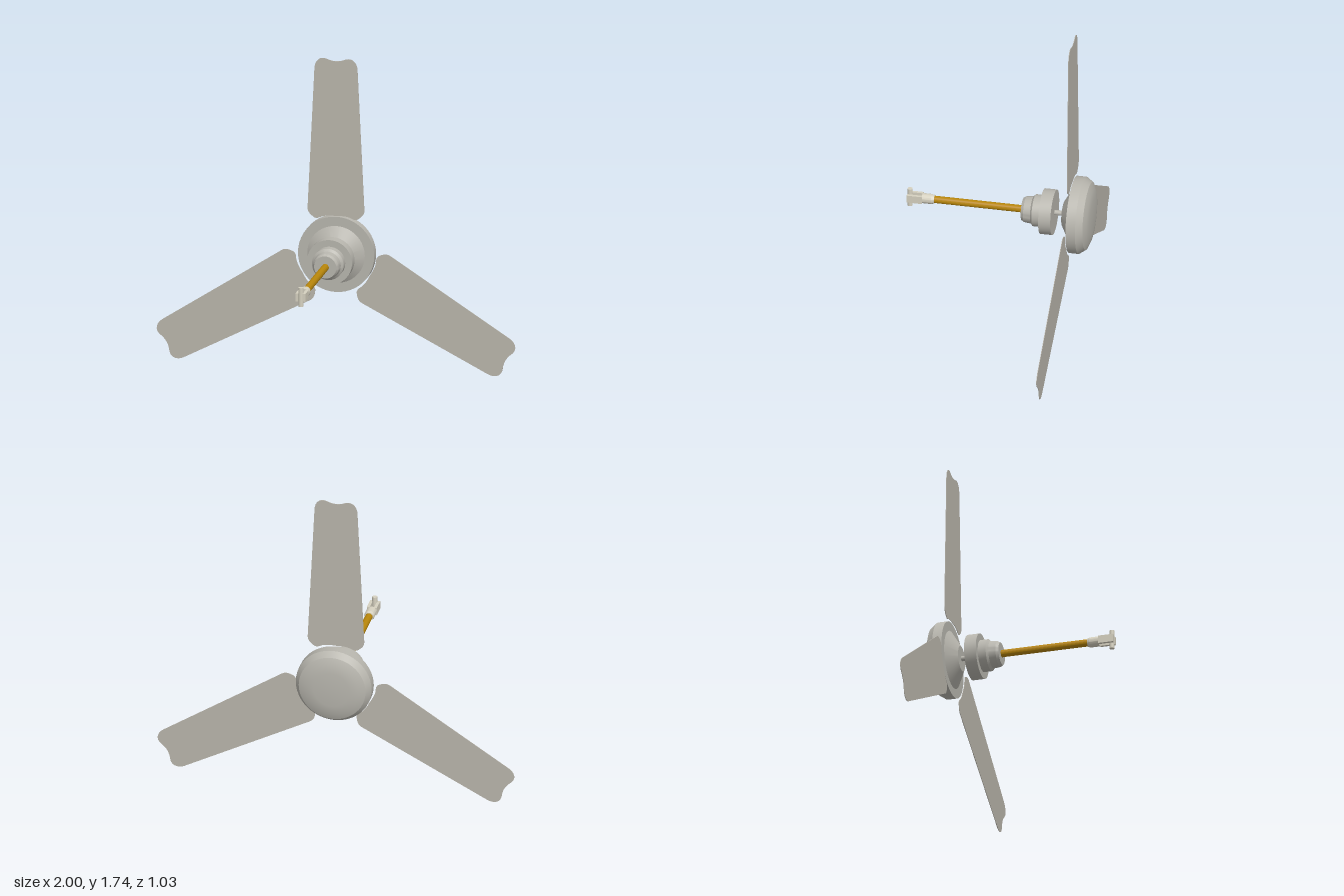
import * as THREE from 'three';
import { toCreasedNormals } from 'three/addons/utils/BufferGeometryUtils.js';

const mat = (name, color) => {
  const m = new THREE.MeshStandardMaterial({ color });
  m.name = name;
  return m;
};

export function createModel() {
  const metal = mat('grey metal', 0xb8b6ae);
  const bladePaint = mat('blade grey', 0xbab6ac);
  const brass = mat('dark gold', 0xb8860b);
  const cream = mat('pale cream', 0xd6d1c0);

  const fan = new THREE.Group();
  fan.name = 'ceilingFan';
  fan.position.y = 0.641;

  const add = (name, geometry, material) => {
    const mesh = new THREE.Mesh(geometry, material);
    mesh.name = name;
    fan.add(mesh);
    return mesh;
  };
  // Turned part about z; profile pairs are [radius, z], back to front
  const turned = (name, profile, material) => {
    const g = new THREE.LatheGeometry(profile.map(p => new THREE.Vector2(...p)), 48);
    g.rotateX(Math.PI / 2);
    return add(name, toCreasedNormals(g, 0.3), material);
  };
  const rod = (name, r, z0, z1, material) =>
    turned(name, [[0, z0], [r, z0], [r, z1], [0, z1]], material);

  // Motor housing, ceiling canopy and rods
  turned('motorHousing', [
    [0, -0.515], [0.1, -0.515], [0.15, -0.508], [0.187, -0.493], [0.212, -0.457],
    [0.212, -0.404], [0.16, -0.404], [0.07, -0.352], [0, -0.352],
  ], metal);
  turned('canopy', [
    [0, -0.302], [0.125, -0.302], [0.125, -0.235], [0.088, -0.235], [0.088, -0.19],
    [0.075, -0.179], [0.071, -0.14], [0.062, -0.125], [0, -0.125],
  ], metal);
  rod('motorShaft', 0.014, -0.36, -0.295, metal);
  rod('downRod', 0.02, -0.13, 0.37, brass);

  // Forked hanger with its cross pin
  turned('hangerSleeve', [
    [0, 0.365], [0.023, 0.365], [0.028, 0.38], [0.028, 0.432], [0, 0.432],
  ], cream);
  for (const side of [-1, 1]) {
    const prong = add('hangerProng', new THREE.BoxGeometry(0.016, 0.044, 0.085), cream);
    prong.position.set(side * 0.02, 0, 0.4725);
  }
  const pin = add('hangerPin', new THREE.CylinderGeometry(0.014, 0.014, 0.106, 20), cream);
  pin.position.z = 0.501;

  // Blade outline, pointing up, with a wavy tip and rounded root
  const s = new THREE.Shape();
  s.moveTo(0, 0.217);
  s.quadraticCurveTo(0.06, 0.222, 0.09, 0.205);
  s.quadraticCurveTo(0.115, 0.193, 0.13, 0.21);
  s.quadraticCurveTo(0.16, 0.23, 0.158, 0.26);
  s.lineTo(0.12, 1.045);
  s.quadraticCurveTo(0.117, 1.085, 0.09, 1.1);
  s.quadraticCurveTo(0.07, 1.109, 0.045, 1.098);
  s.quadraticCurveTo(0, 1.08, -0.045, 1.098);
  s.quadraticCurveTo(-0.07, 1.109, -0.09, 1.1);
  s.quadraticCurveTo(-0.117, 1.085, -0.12, 1.045);
  s.lineTo(-0.158, 0.26);
  s.quadraticCurveTo(-0.16, 0.23, -0.13, 0.21);
  s.quadraticCurveTo(-0.115, 0.193, -0.09, 0.205);
  s.quadraticCurveTo(-0.06, 0.222, 0, 0.217);
  const bladeGeometry = new THREE.ExtrudeGeometry(s, {
    depth: 0.003, bevelEnabled: false, curveSegments: 8,
  });
  for (let i = 0; i < 3; i++) {
    const blade = add('blade', bladeGeometry, bladePaint);
    blade.position.z = -0.404;
    blade.rotation.z = i * Math.PI * 2 / 3;
  }

  const model = new THREE.Group();
  model.name = 'model';
  model.add(fan);
  return model;
}
